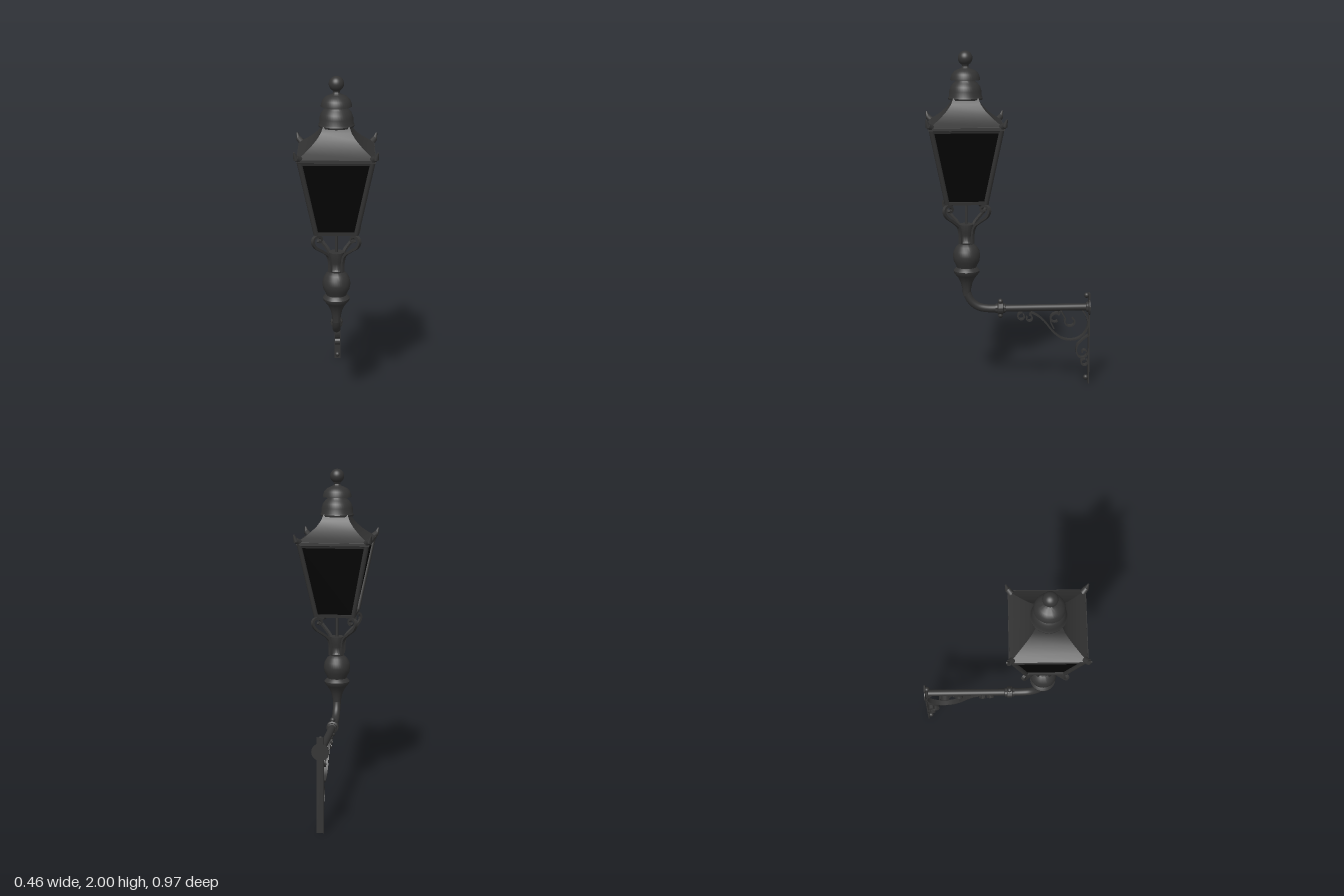
import * as THREE from 'three';
import { toCreasedNormals } from 'three/addons/utils/BufferGeometryUtils.js';

const iron = new THREE.MeshStandardMaterial({ color: 0x333333 });
iron.name = 'castIron';
const glass = new THREE.MeshStandardMaterial({ color: 0x040404, side: THREE.DoubleSide });
glass.name = 'darkGlass';

const LAMP_Z = 0.255; // axis of the lantern
const ARM_Y = 0.475; // height of the arm
const V2 = (p) => new THREE.Vector2(p[0], p[1]);

function add(parent, name, geometry, material = iron) {
  const mesh = new THREE.Mesh(geometry, material);
  mesh.name = name;
  parent.add(mesh);
  return mesh;
}

// Round turned part, profile as [radius, y] from bottom to top
const turned = (profile) => toCreasedNormals(new THREE.LatheGeometry(profile.map(V2), 40), 0.7);

// Square-section part, profile as [half width, y] from bottom to top
function squared(profile) {
  const pts = profile.map(([r, y]) => new THREE.Vector2(r * Math.SQRT2, y));
  return toCreasedNormals(new THREE.LatheGeometry(pts, 4).rotateY(Math.PI / 4), 0.6);
}

// Flat iron band following a planar path, centred across its width
function band(points, width, thick) {
  const curve = new THREE.SplineCurve(points.map(V2));
  const n = points.length * 5;
  const a = [], b = [];
  for (let i = 0; i <= n; i++) {
    const p = curve.getPoint(i / n), t = curve.getTangent(i / n);
    const dx = -t.y * thick / 2, dy = t.x * thick / 2;
    a.push(new THREE.Vector2(p.x + dx, p.y + dy));
    b.push(new THREE.Vector2(p.x - dx, p.y - dy));
  }
  const geo = new THREE.ExtrudeGeometry(new THREE.Shape([...a, ...b.reverse()]), {
    depth: width, bevelEnabled: false,
  });
  return toCreasedNormals(geo.translate(0, 0, -width / 2), 0.6);
}

function spiral(cx, cy, r0, r1, a0, a1, n = 12) {
  return Array.from({ length: n + 1 }, (_, i) => {
    const t = i / n, r = r0 + (r1 - r0) * t, a = a0 + (a1 - a0) * t;
    return [cx + r * Math.cos(a), cy + r * Math.sin(a)];
  });
}

// Straight bar between two points, tapering from r0 to r1
function bar(parent, name, from, to, r0, r1, sides) {
  const d = to.clone().sub(from);
  const mesh = add(parent, name, new THREE.CylinderGeometry(r1, r0, d.length(), sides));
  mesh.position.copy(from).addScaledVector(d, 0.5);
  mesh.quaternion.setFromUnitVectors(new THREE.Vector3(0, 1, 0), d.normalize());
  return mesh;
}

function buildLantern() {
  const g = new THREE.Group();
  g.name = 'lantern';

  add(g, 'glassPanes', squared([[0.108, 1.135], [0.196, 1.56]]), glass);
  add(g, 'bottomFrame', squared([
    [0.085, 1.125], [0.12, 1.125], [0.123, 1.143], [0.085, 1.143], [0.085, 1.125]]));
  add(g, 'topRim', squared([
    [0.185, 1.55], [0.2, 1.55], [0.205, 1.562], [0.215, 1.566], [0.215, 1.582], [0.185, 1.582]]));

  // Concave roof
  add(g, 'roof', squared([
    [0, 1.57], [0.213, 1.572], [0.211, 1.584], [0.175, 1.607], [0.14, 1.636],
    [0.108, 1.668], [0.085, 1.7], [0.072, 1.735], [0, 1.735]]));

  // Stacked vent caps and ball finial
  add(g, 'lowerVent', turned([
    [0, 1.722], [0.098, 1.722], [0.1, 1.732], [0.094, 1.742], [0.093, 1.77], [0.085, 1.796],
    [0.07, 1.816], [0.055, 1.828], [0.05, 1.84]]));
  add(g, 'upperVent', turned([
    [0, 1.834], [0.086, 1.834], [0.085, 1.845], [0.077, 1.868], [0.06, 1.886], [0.038, 1.896],
    [0.024, 1.902], [0.018, 1.912], [0.022, 1.925]]));
  add(g, 'finialBall', new THREE.SphereGeometry(0.042, 32, 20)).position.y = 1.958;

  // Corner posts, roof horns and carrying scrolls
  const scroll = [[0.035, 0.88], [0.037, 0.94], [0.048, 0.985], [0.08, 1.02], [0.114, 1.052],
    [0.129, 1.085], [0.124, 1.11], [0.107, 1.117], [0.09, 1.108], [0.085, 1.092],
    [0.094, 1.082], [0.103, 1.09]].map(([r, y]) => [r * Math.SQRT2, y]);
  const scrollGeo = band(scroll, 0.018, 0.014);
  for (let i = 0; i < 4; i++) {
    const corner = new THREE.Group();
    corner.name = 'corner' + (i + 1);
    corner.rotation.y = Math.PI / 4 + i * Math.PI / 2;
    const at = (d, y) => new THREE.Vector3(d * Math.SQRT2, y, 0);
    bar(corner, 'cornerPost', at(0.112, 1.13), at(0.199, 1.57), 0.014, 0.014, 8);
    bar(corner, 'hornBase', at(0.19, 1.575), at(0.216, 1.598), 0.02, 0.016, 10);
    bar(corner, 'hornTip', at(0.214, 1.59), at(0.226, 1.63), 0.016, 0.005, 10);
    add(corner, 'carryingScroll', scrollGeo);
    g.add(corner);
  }

  // Gas rod with its cross support
  bar(g, 'centreRod', new THREE.Vector3(0, 0.97, 0), new THREE.Vector3(0, 1.14, 0), 0.008, 0.008, 12);
  for (const s of [1, -1]) {
    bar(g, 'rodSupport', new THREE.Vector3(-0.1, 1.135, -0.1 * s),
      new THREE.Vector3(0.1, 1.135, 0.1 * s), 0.005, 0.005, 8);
  }

  // Turned stem with bulb
  add(g, 'stem', turned([
    [0.023, 0.56], [0.026, 0.6], [0.034, 0.635], [0.048, 0.665], [0.062, 0.683], [0.075, 0.7],
    [0.077, 0.712], [0.068, 0.723], [0.058, 0.732], [0.062, 0.744], [0.075, 0.768], [0.081, 0.8],
    [0.075, 0.833], [0.06, 0.858], [0.04, 0.873], [0.042, 0.882], [0.034, 0.892], [0.033, 0.925],
    [0.041, 0.945], [0.043, 0.99], [0, 0.99]]));
  g.position.z = LAMP_Z;
  return g;
}

function buildArm() {
  const g = new THREE.Group();
  g.name = 'arm';
  const path = new THREE.CatmullRomCurve3([
    [0.62, 0.255], [0.575, 0.252], [0.525, 0.23], [0.489, 0.187], [0.476, 0.13], [ARM_Y, 0.06],
  ].map(([y, z]) => new THREE.Vector3(0, y, z)));
  add(g, 'elbow', new THREE.TubeGeometry(path, 32, 0.0235, 24));
  bar(g, 'armTube', new THREE.Vector3(0, ARM_Y, 0.08), new THREE.Vector3(0, ARM_Y, -0.474), 0.021, 0.021, 24);

  // Joint collar with bolts
  const collar = add(g, 'jointCollar', turned([
    [0.02, -0.032], [0.027, -0.03], [0.028, -0.018], [0.036, -0.014], [0.036, 0.014],
    [0.028, 0.018], [0.027, 0.03], [0.02, 0.032]]));
  collar.rotation.x = Math.PI / 2;
  collar.position.set(0, ARM_Y, 0.055);
  for (const s of [1, -1]) {
    add(g, 'collarBolt', new THREE.SphereGeometry(0.016, 16, 12))
      .position.set(0, ARM_Y + s * 0.043, 0.055);
  }
  return g;
}

function buildWallBracket() {
  const g = new THREE.Group();
  g.name = 'wallBracket';
  add(g, 'wallPlate', new THREE.BoxGeometry(0.04, 0.56, 0.008)).position.set(0, 0.28, -0.476);
  const flange = add(g, 'wallFlange', turned([
    [0, 0], [0.05, 0], [0.05, 0.007], [0.033, 0.01], [0.027, 0.022], [0.02, 0.024]]));
  flange.rotation.x = Math.PI / 2;
  flange.position.set(0, ARM_Y, -0.48);
  for (const y of [0.547, 0.035]) {
    add(g, 'wallBolt', new THREE.SphereGeometry(0.016, 16, 12)).position.set(0, y, -0.461);
  }

  // Ornamental scrolls as [z, y] paths
  const P = Math.PI;
  const scrolls = {
    mainScroll: [[-0.12, 0.45], [-0.16, 0.432], [-0.205, 0.395], [-0.26, 0.327], [-0.31, 0.287],
      [-0.36, 0.274], [-0.41, 0.282], [-0.45, 0.315], [-0.47, 0.365], [-0.462, 0.415], [-0.44, 0.45]],
    innerCurl: [[-0.31, 0.45], ...spiral(-0.365, 0.39, 0.038, 0.02, 0.5, -P * 1.35)],
    leftCurl: [[-0.3, 0.45], ...spiral(-0.272, 0.41, 0.032, 0.02, P * 0.75, -P * 0.75).map(([z, y]) => [z, y])],
    outerStrap: [[-0.29, 0.45], [-0.25, 0.425], [-0.245, 0.39], [-0.265, 0.345]],
    armCurl: spiral(-0.069, 0.425, 0.023, 0.017, P * 0.6, -P * 1.2),
    armSmallCurl: spiral(-0.116, 0.413, 0.02, 0.015, P * 0.5, P * 2.2),
    lowerScroll: [[-0.472, 0.3], [-0.435, 0.272], [-0.407, 0.24], [-0.402, 0.2], [-0.418, 0.168],
      [-0.445, 0.162], [-0.466, 0.18], [-0.462, 0.203], [-0.443, 0.207], [-0.436, 0.192]],
    lowerCurl: spiral(-0.45, 0.133, 0.021, 0.018, P * 0.8, P * 2.6),
  };
  for (const [name, pts] of Object.entries(scrolls)) {
    add(g, name, band(pts, 0.032, 0.008).rotateY(-Math.PI / 2));
  }
  return g;
}

export function createModel() {
  const model = new THREE.Group();
  model.name = 'wallLantern';
  model.add(buildLantern(), buildArm(), buildWallBracket());
  return model;
}
